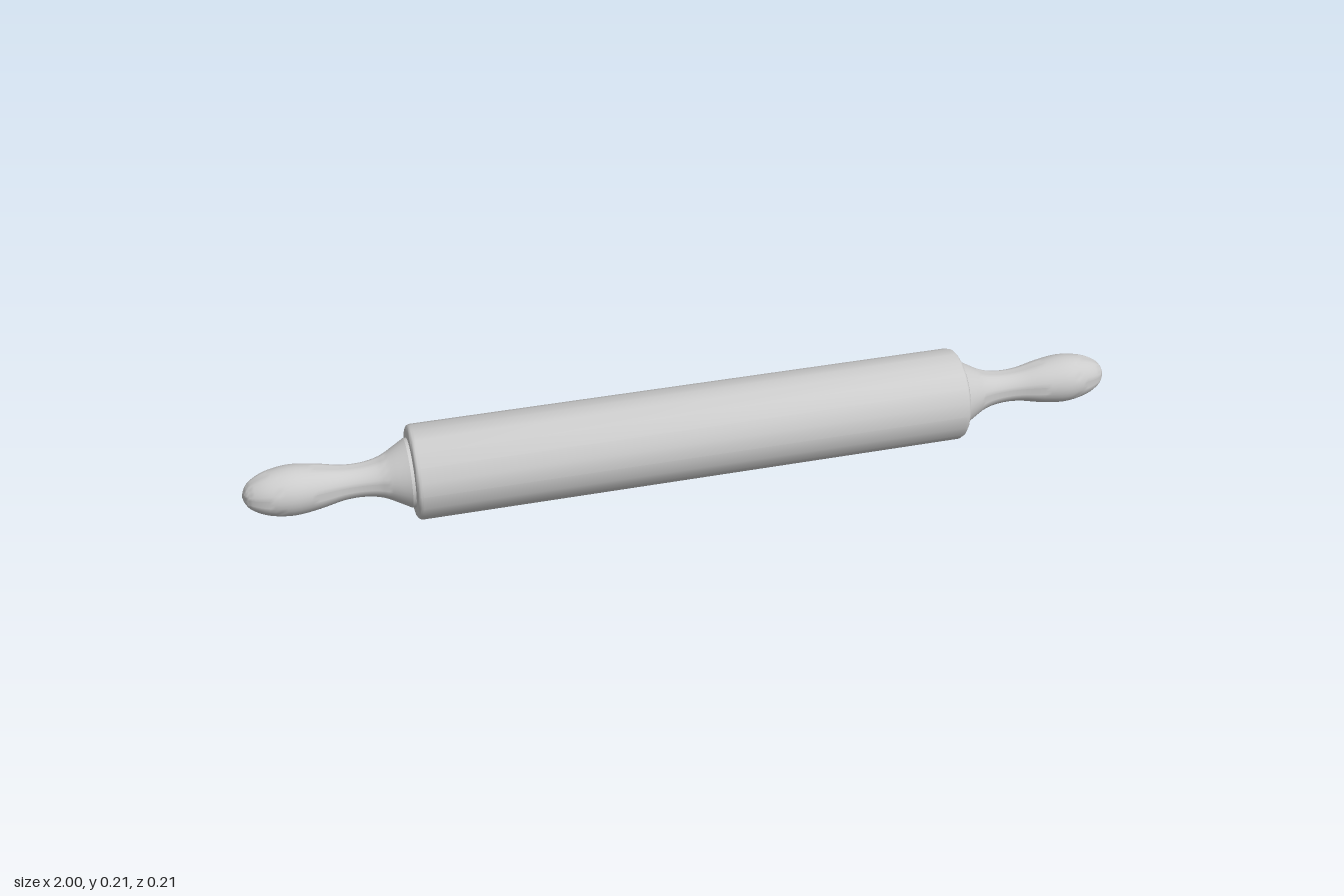
import * as THREE from 'three';
import { toCreasedNormals } from 'three/addons/utils/BufferGeometryUtils.js';

const RADIUS = 0.106;
const HALF = 0.635;
const BEVEL = 0.012;

// Turned part: pairs of [distance along the axis, radius], spun about x
function turned(points, sides) {
  const profile = points.map(([x, r]) => new THREE.Vector2(r, x));
  return new THREE.LatheGeometry(profile, sides).rotateZ(-Math.PI / 2);
}

export function createModel() {
  const group = new THREE.Group();
  const material = new THREE.MeshStandardMaterial({ color: 0xcccccc });

  // Roller with rounded rims
  const rim = [];
  for (let i = 0; i <= 4; i++) {
    const a = (i / 4) * Math.PI / 2;
    rim.push([HALF - BEVEL + BEVEL * Math.sin(a), RADIUS - BEVEL + BEVEL * Math.cos(a)]);
  }
  const half = [...rim, [HALF, 0]];
  const mirrored = half.map(([x, r]) => [-x, r]).reverse();
  const rollerGeometry = toCreasedNormals(turned([...mirrored, ...half], 20), 0.6);
  const roller = new THREE.Mesh(rollerGeometry, material);
  roller.name = 'roller';
  roller.position.y = RADIUS;
  group.add(roller);

  // Handle: flared collar, narrow neck, bulbous grip and rounded tip
  const curve = new THREE.SplineCurve([
    [0.642, 0.077], [0.665, 0.064], [0.70, 0.046], [0.74, 0.038], [0.785, 0.039],
    [0.84, 0.050], [0.895, 0.056], [0.945, 0.049], [0.98, 0.033], [0.995, 0.016], [1, 0],
  ].map(([x, r]) => new THREE.Vector2(x, r)));
  const grip = curve.getPoints(40).map((p) => [p.x, Math.max(p.y, 0)]);
  const handleGeometry = toCreasedNormals(turned([[HALF - 0.01, 0.077], ...grip], 32), 0.5);

  for (const side of [1, -1]) {
    const handle = new THREE.Mesh(handleGeometry, material);
    handle.name = side > 0 ? 'leftHandle' : 'rightHandle';
    handle.position.y = RADIUS;
    handle.rotation.y = side > 0 ? 0 : Math.PI;
    group.add(handle);
  }

  return group;
}
